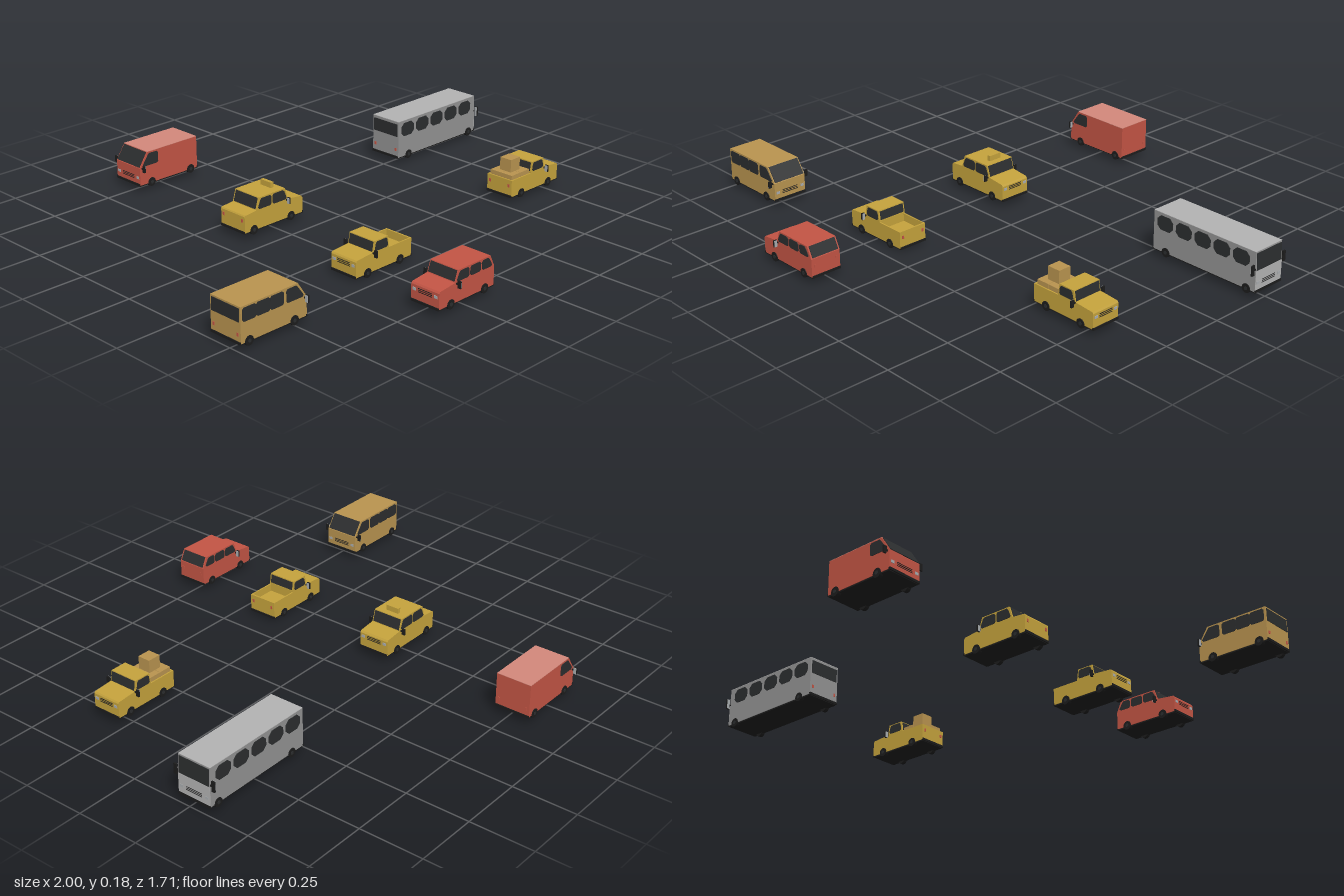
import * as THREE from 'three';

const paint = (name, color) => {
  const m = new THREE.MeshStandardMaterial({ color });
  m.name = name;
  return m;
};
const yellow = paint('yellow', 0xc4a23c);
const tan = paint('tan', 0xb8934f);
const red = paint('red', 0xc25444);
const paleRed = paint('paleRed', 0xd2877a);
const grey = paint('grey', 0x929292);
const paleGrey = paint('paleGrey', 0xb2b2b2);
const glass = paint('glass', 0x2b2d2e);
const black = paint('black', 0x1c1c1c);
const silver = paint('silver', 0xa9adb0);

function add(parent, name, geometry, material, x = 0, y = 0, z = 0) {
  const mesh = new THREE.Mesh(geometry, material);
  mesh.name = name;
  mesh.position.set(x, y, z);
  parent.add(mesh);
  return mesh;
}

const box = (parent, name, material, x0, x1, y0, y1, z0, z1) =>
  add(parent, name, new THREE.BoxGeometry(x1 - x0, y1 - y0, z1 - z0), material,
    (x0 + x1) / 2, (y0 + y1) / 2, (z0 + z1) / 2);

// Side outline (x, y) extruded across the width
function slab(points, width) {
  const shape = new THREE.Shape(points.map(p => new THREE.Vector2(...p)));
  const geo = new THREE.ExtrudeGeometry(shape, { depth: width, bevelEnabled: false });
  return geo.translate(0, 0, -width / 2);
}

// Thin plate lying on a sloped edge of the side outline
function panel(parent, name, material, [x0, y0], [x1, y1], width, z = 0) {
  const length = Math.hypot(x1 - x0, y1 - y0);
  const mesh = add(parent, name, new THREE.BoxGeometry(length, 0.004, width), material,
    (x0 + x1) / 2, (y0 + y1) / 2, z);
  mesh.rotation.z = Math.atan2(y1 - y0, x1 - x0);
}

// Window outline with cut corners; the top may be shorter than the bottom
function pane(x0, x1, y0, y1, rear = 0, front = 0, c = 0.006) {
  return [[x0 + c, y0], [x1 - c, y0], [x1, y0 + c], [x1 - front, y1 - c], [x1 - front - c, y1],
    [x0 + rear + c, y1], [x0 + rear, y1 - c], [x0, y0 + c]];
}

// A vehicle facing +x: body, chassis, wheels, glass, mirrors and lamps
function vehicle(name, o) {
  const g = new THREE.Group();
  g.name = name;
  const h = o.length / 2, w = o.width;
  add(g, 'body', slab(o.outline, w), o.material);
  box(g, 'chassis', black, -h + 0.002, h - 0.002, 0.027, 0.034, -w / 2 + 0.002, w / 2 - 0.002);
  for (const s of [-1, 1]) {
    box(g, 'bumper', black, s * h - 0.003, s * h + 0.003, 0.029, 0.038, -w / 2, w / 2);
    for (const x of o.wheels) {
      const tyre = new THREE.CylinderGeometry(0.0175, 0.0175, 0.016, 16).rotateX(Math.PI / 2);
      add(g, 'wheel', tyre, black, x, 0.0345, s * (w / 2 - 0.0055));
      const hub = new THREE.CylinderGeometry(0.007, 0.007, 0.002, 10).rotateX(Math.PI / 2);
      add(g, 'hub', hub, glass, x, 0.0345, s * (w / 2 + 0.003));
    }
    for (const p of o.panes) add(g, 'sideWindow', slab(p, 0.004), glass, 0, 0, s * w / 2);
    // Door mirror with a bright rear face
    const [mx, my, mh] = o.mirror;
    const inner = s * (w / 2 - 0.002), outer = s * (w / 2 + 0.02);
    box(g, 'mirrorArm', black, mx - 0.002, mx + 0.002, my - 0.003, my + 0.003,
      Math.min(inner, outer), Math.max(inner, outer));
    box(g, 'mirror', black, mx - 0.003, mx + 0.003, my - mh / 2, my + mh / 2,
      s * (w / 2 + 0.0135) - 0.0065, s * (w / 2 + 0.0135) + 0.0065);
    box(g, 'mirrorGlass', silver, mx - 0.005, mx - 0.003, my - mh / 2 + 0.001, my + mh / 2 - 0.001,
      s * (w / 2 + 0.0135) - 0.0055, s * (w / 2 + 0.0135) + 0.0055);
    // Lamps
    const lz = s * (w / 2 - 0.014);
    box(g, 'headlamp', silver, h - 0.002, h + 0.002, o.lamp - 0.005, o.lamp + 0.005, lz - 0.007, lz + 0.007);
    box(g, 'tailLamp', red, -h - 0.002, -h + 0.002, o.lamp - 0.006, o.lamp + 0.006, lz - 0.004, lz + 0.004);
  }
  for (let i = 0; i < 3; i++) {
    const y = o.lamp - 0.006 + i * 0.006;
    box(g, 'grilleBar', black, h - 0.001, h + 0.0015, y - 0.001, y + 0.001, -w * 0.25, w * 0.25);
  }
  panel(g, 'windscreen', glass, ...o.windscreen, w - 0.008);
  if (o.rearGlass) panel(g, 'rearWindow', glass, ...o.rearGlass, w - 0.012);
  return g;
}

function van(name, material, panes, rearGlass) {
  return vehicle(name, {
    material, length: 0.285, width: 0.14, wheels: [-0.108, 0.087], lamp: 0.062,
    outline: [[-0.1425, 0.032], [0.1425, 0.032], [0.1425, 0.102], [0.104, 0.16], [-0.1425, 0.16]],
    panes: [...panes, pane(0.053, 0.128, 0.106, 0.154, 0, 0.026)],
    windscreen: [[0.1415, 0.1045], [0.105, 0.1585]], rearGlass, mirror: [0.133, 0.1, 0.026],
  });
}

// Pickup with an open bed behind the cab
function pickup(name) {
  const g = vehicle(name, {
    material: yellow, length: 0.276, width: 0.118, wheels: [-0.08, 0.082], lamp: 0.075,
    outline: [[-0.138, 0.032], [0.138, 0.032], [0.138, 0.09], [0.134, 0.096], [0.056, 0.102],
      [0.049, 0.142], [-0.018, 0.142], [-0.024, 0.102], [-0.024, 0.068], [-0.138, 0.068]],
    panes: [pane(-0.017, 0.047, 0.104, 0.138, 0.003, 0.005)],
    windscreen: [[0.0555, 0.104], [0.0495, 0.139]], rearGlass: [[-0.0235, 0.106], [-0.0185, 0.138]],
    mirror: [0.055, 0.085, 0.026].map((v, i) => (i === 1 ? 0.1 : v)),
  });
  for (const s of [-1, 1])
    box(g, 'bedSide', yellow, -0.138, -0.024, 0.068, 0.098, s * 0.0565 - 0.0025, s * 0.0565 + 0.0025);
  box(g, 'tailgate', yellow, -0.138, -0.132, 0.068, 0.098, -0.054, 0.054);
  return g;
}

export function createModel() {
  const root = new THREE.Group();
  root.name = 'vehicles';
  const place = (g, x, y, z, back) => {
    g.position.set(x, y, z);
    if (back) g.rotation.y = Math.PI;
    root.add(g);
  };

  // Passenger van
  place(van('passengerVan', tan, [0, 1, 2].map(i =>
    pane(-0.135 + i * 0.059, -0.077 + i * 0.059, 0.106, 0.154)), [[-0.1425, 0.106], [-0.1425, 0.154]]),
  -0.8575, 0, 0.483);

  // Delivery van with plain sides and a pale roof
  const cargoVan = van('deliveryVan', red, []);
  box(cargoVan, 'roofPanel', paleRed, -0.1425, 0.104, 0.1595, 0.1615, -0.07, 0.07);
  place(cargoVan, -0.24, 0, -0.768, true);

  // Sedan taxi with a roof sign
  const taxi = vehicle('taxi', {
    material: yellow, length: 0.286, width: 0.126, wheels: [-0.1, 0.084], lamp: 0.078,
    outline: [[-0.143, 0.032], [0.143, 0.032], [0.143, 0.09], [0.138, 0.097], [0.07, 0.105],
      [0.056, 0.151], [-0.072, 0.151], [-0.086, 0.105], [-0.14, 0.1], [-0.143, 0.095]],
    panes: [pane(-0.078, -0.013, 0.107, 0.146, 0.011, 0), pane(-0.007, 0.062, 0.107, 0.146, 0, 0.011)],
    windscreen: [[0.069, 0.108], [0.057, 0.148]], rearGlass: [[-0.085, 0.108], [-0.073, 0.148]],
    mirror: [0.062, 0.104, 0.024],
  });
  box(taxi, 'roofSign', yellow, 0.019, 0.033, 0.151, 0.172, -0.027, 0.027);
  place(taxi, -0.268, 0, -0.137);

  // Pickups: one empty, one loaded with five crates
  place(pickup('pickup'), -0.241, -0.016, 0.389, true);
  const loaded = pickup('loadedPickup');
  for (const i of [0, 1]) for (const j of [0, 1])
    box(loaded, 'crate', tan, -0.13 + i * 0.052, -0.079 + i * 0.052, 0.068, 0.114,
      -0.0515 + j * 0.052, -0.0005 + j * 0.052);
  box(loaded, 'topCrate', tan, -0.106, -0.053, 0.114, 0.164, -0.026, 0.026);
  place(loaded, 0.6625, 0, 0.327);

  // Estate car
  place(vehicle('estateCar', {
    material: red, length: 0.275, width: 0.122, wheels: [-0.09, 0.08], lamp: 0.075,
    outline: [[-0.1375, 0.032], [0.1375, 0.032], [0.1375, 0.09], [0.133, 0.096], [0.06, 0.104],
      [0.045, 0.146], [-0.116, 0.146], [-0.1375, 0.102]],
    panes: [pane(-0.124, -0.073, 0.106, 0.141, 0.014, 0), pane(-0.067, -0.014, 0.106, 0.141),
      pane(-0.008, 0.052, 0.106, 0.141, 0, 0.011)],
    windscreen: [[0.059, 0.107], [0.046, 0.143]], rearGlass: [[-0.1365, 0.105], [-0.117, 0.144]],
    mirror: [0.054, 0.1, 0.026],
  }), -0.2525, 0, 0.77, true);

  // Bus with rounded windows, pale roof and pale nose
  const bus = vehicle('bus', {
    material: grey, length: 0.464, width: 0.138, wheels: [-0.172, 0.195], lamp: 0.065,
    outline: [[-0.232, 0.032], [0.232, 0.032], [0.232, 0.11], [0.228, 0.182], [-0.232, 0.182]],
    panes: [0, 1, 2, 3, 4].map(i => pane(-0.215 + i * 0.0865, -0.143 + i * 0.0865, 0.117, 0.172, 0, 0, 0.015)),
    windscreen: [[0.232, 0.113], [0.2285, 0.177]], rearGlass: [[-0.232, 0.12], [-0.232, 0.172]],
    mirror: [0.229, 0.118, 0.04],
  });
  box(bus, 'roofPanel', paleGrey, -0.232, 0.228, 0.1815, 0.1835, -0.069, 0.069);
  box(bus, 'nosePanel', paleGrey, 0.231, 0.2328, 0.038, 0.11, -0.069, 0.069);
  place(bus, 0.7625, 0, -0.268);

  return root;
}
